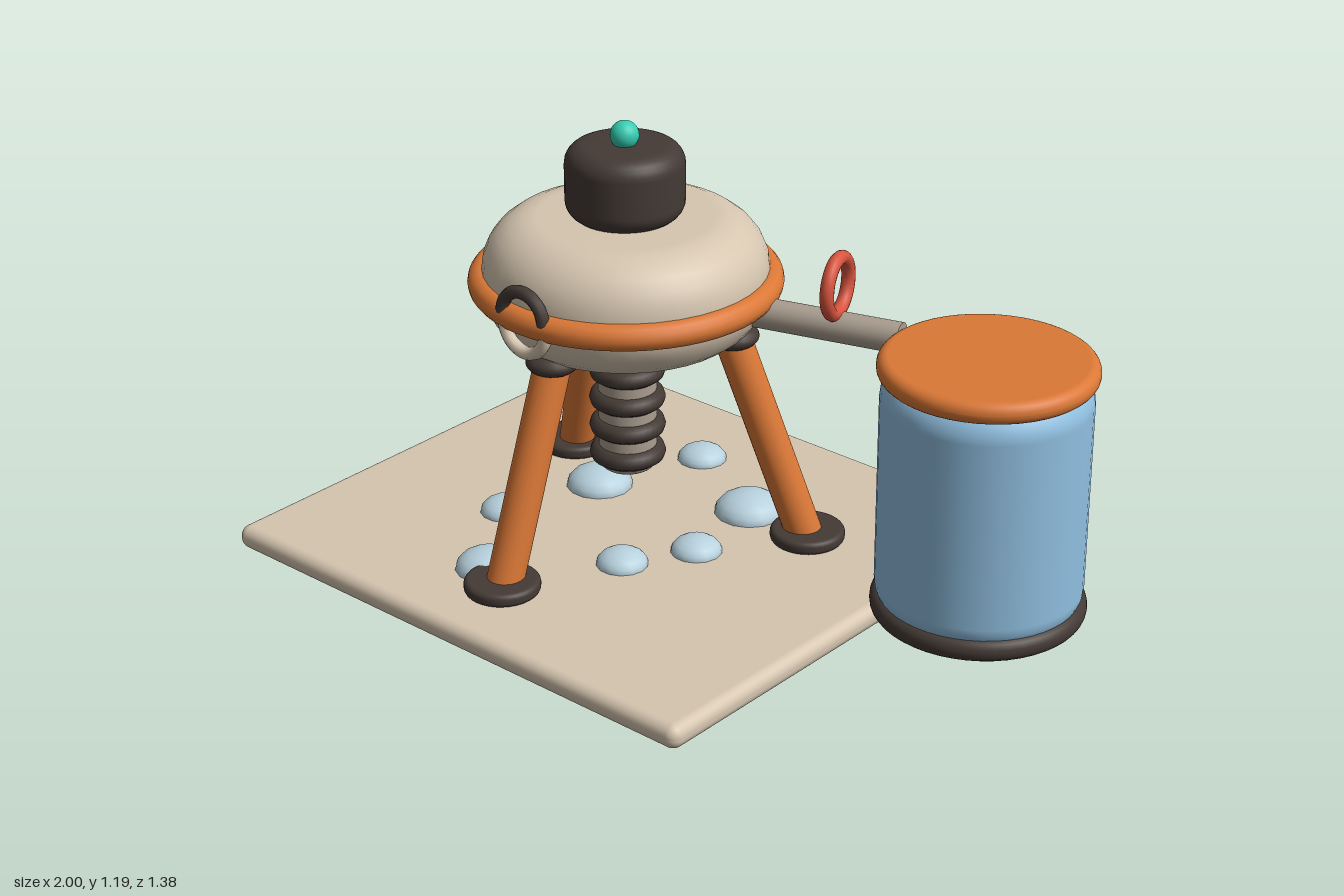
import * as THREE from 'three';
import { RoundedBoxGeometry } from 'three/addons/geometries/RoundedBoxGeometry.js';

const mat = (name, color, extra = {}) => {
  const m = new THREE.MeshStandardMaterial({ color, ...extra });
  m.name = name;
  return m;
};

export function createModel() {
  const root = new THREE.Group();
  root.name = 'fieldStation';
  const beige = mat('beige', 0xd6c6b0);
  const taupe = mat('taupe', 0xaa9e90);
  const orange = mat('orange', 0xdb7836);
  const dark = mat('darkBrown', 0x443a35);
  const blue = mat('tankBlue', 0x90bfe0);
  const pale = mat('paleBlue', 0xb8d2de);
  const teal = mat('teal', 0x35cdb2);
  const red = mat('red', 0xd9543e);

  const add = (name, geo, material, x = 0, y = 0, z = 0, parent = root) => {
    const m = new THREE.Mesh(geo, material);
    m.name = name;
    m.position.set(x, y, z);
    parent.add(m);
    return m;
  };

  // Disc with rounded rims, standing on y = 0
  const roundedDisc = (r, h, c, sides = 40) => {
    const pts = [new THREE.Vector2(0, 0)];
    for (const [cy, start] of [[c, -Math.PI / 2], [h - c, 0]]) {
      for (let i = 0; i <= 6; i++) {
        const a = start + (i / 6) * Math.PI / 2;
        pts.push(new THREE.Vector2(r - c + c * Math.cos(a), cy + c * Math.sin(a)));
      }
    }
    pts.push(new THREE.Vector2(0, h));
    return new THREE.LatheGeometry(pts, sides);
  };

  // Cylinder between two points
  const UP = new THREE.Vector3(0, 1, 0);
  const rod = (name, a, b, r, material, parent) => {
    const d = b.clone().sub(a);
    const mid = a.clone().add(b).multiplyScalar(0.5);
    const m = add(name, new THREE.CylinderGeometry(r, r, d.length(), 24), material, mid.x, mid.y, mid.z, parent);
    m.quaternion.setFromUnitVectors(UP, d.normalize());
    return m;
  };

  const CX = -0.235, GROUND = 0.065;

  // Ground slab
  add('groundSlab', new RoundedBoxGeometry(1.53, 0.065, 1.38, 4, 0.03), beige, CX, 0.0325, 0);

  // Main pod: hull, belt, cap and beacon
  const pod = new THREE.Group();
  pod.name = 'pod';
  pod.position.x = CX;
  root.add(pod);
  add('hull', roundedDisc(0.365, 0.32, 0.14), beige, 0, 0.62, 0, pod);
  add('belt', new THREE.TorusGeometry(0.366, 0.035, 14, 56).rotateX(Math.PI / 2), orange, 0, 0.77, 0, pod);
  add('cap', roundedDisc(0.152, 0.195, 0.05), dark, 0, 0.935, 0, pod);
  add('beacon', new THREE.SphereGeometry(0.037, 20, 14), teal, 0, 1.153, 0, pod);

  // Front hatch handle, upper and lower arcs
  const arc = () => new THREE.TorusGeometry(0.069, 0.017, 10, 24, Math.PI);
  add('hatchArcUpper', arc(), dark, 0, 0.783, 0.376, pod);
  add('hatchArcLower', arc().rotateZ(Math.PI), beige, 0, 0.758, 0.37, pod);

  // Central drill with rings
  add('drillShaft', roundedDisc(0.076, 0.41, 0.025, 28), taupe, 0, 0.235, 0, pod);
  for (let i = 0; i < 4; i++) {
    add('drillRing', new THREE.TorusGeometry(0.074, 0.025, 10, 32).rotateX(Math.PI / 2), dark, 0, 0.28 + i * 0.078, 0, pod);
  }

  // Three splayed legs
  for (let i = 0; i < 3; i++) {
    const leg = new THREE.Group();
    leg.name = 'leg';
    leg.rotation.y = i * Math.PI * 2 / 3;
    pod.add(leg);
    rod('strut', new THREE.Vector3(0, 0.08, 0.467), new THREE.Vector3(0, 0.65, 0.265), 0.048, orange, leg);
    add('foot', roundedDisc(0.098, 0.036, 0.014, 32), dark, 0, GROUND, 0.475, leg);
    add('hipCollar', new THREE.SphereGeometry(0.068, 20, 12).scale(1, 0.5, 1), dark, 0, 0.632, 0.275, leg);
  }

  // Side tank
  const tank = new THREE.Group();
  tank.name = 'tank';
  tank.position.set(0.727, 0, -0.23);
  root.add(tank);
  add('tankBody', roundedDisc(0.26, 0.655, 0.08, 48), blue, 0, 0.075, 0, tank);
  add('tankFoot', roundedDisc(0.27, 0.06, 0.028, 48), dark, 0, GROUND, 0, tank);
  add('tankLid', roundedDisc(0.27, 0.057, 0.027, 48), orange, 0, 0.704, 0, tank);

  // Connecting pipe and valve ring
  const pipeAt = (x) => new THREE.Vector3(x, 0.73, -0.135 - 0.3 * (x - 0.147));
  rod('pipe', pipeAt(0.03), pipeAt(0.465), 0.04, taupe);
  const ring = add('valveRing', new THREE.TorusGeometry(0.072, 0.018, 12, 36), red, 0.299, 0.837, -0.185);
  ring.rotation.y = Math.PI / 2 + Math.atan(0.3);

  // Scattered pebbles: x, z, radius
  const pebbles = [
    [-0.33, -0.405, 0.068], [-0.44, -0.11, 0.09], [-0.525, 0.165, 0.068], [-0.345, 0.415, 0.085],
    [-0.1, 0.175, 0.068], [0, 0, 0.068], [-0.035, -0.255, 0.094],
  ];
  for (const [x, z, r] of pebbles) {
    add('pebble', new THREE.SphereGeometry(r, 14, 10).scale(1, 0.6, 1), pale, x, GROUND, z);
  }
  return root;
}
